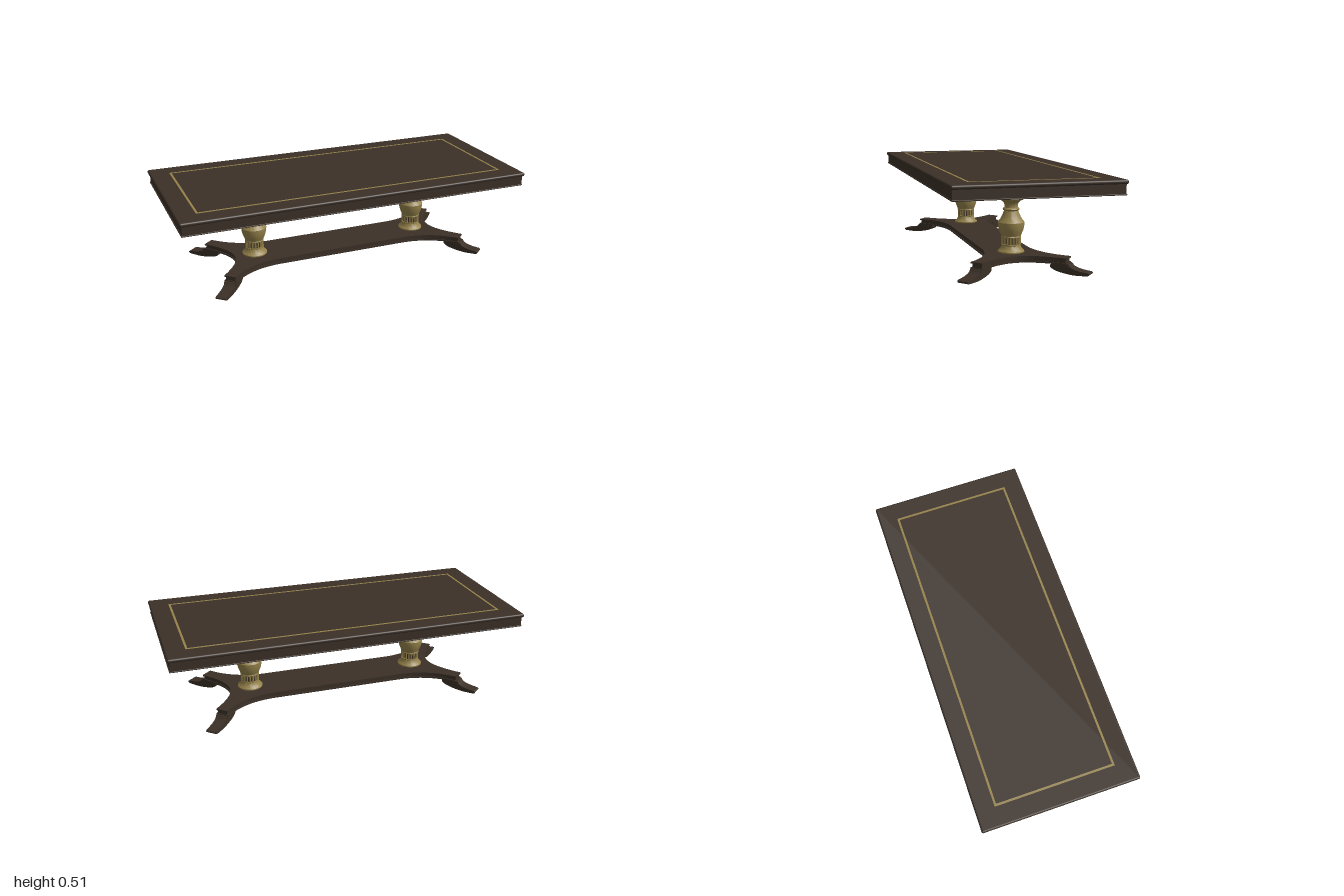
import * as THREE from 'three';
import { toCreasedNormals } from 'three/addons/utils/BufferGeometryUtils.js';
import { RoundedBoxGeometry } from 'three/addons/geometries/RoundedBoxGeometry.js';

const wood = new THREE.MeshStandardMaterial({ color: 0x3b3027 });
wood.name = 'dark walnut';
const gilt = new THREE.MeshStandardMaterial({ color: 0x94814a });
gilt.name = 'antique gold';

const COLUMN_X = 0.5;
const ARM_ANGLE = THREE.MathUtils.degToRad(49);
const C = Math.cos(ARM_ANGLE), S = Math.sin(ARM_ANGLE);

function add(parent, name, geometry, material, x = 0, y = 0, z = 0) {
  const mesh = new THREE.Mesh(geometry, material);
  mesh.name = name;
  mesh.position.set(x, y, z);
  parent.add(mesh);
  return mesh;
}

// Plan of the base: a plank with four splayed arms and hollow sides, shrunk by inset
function basePlan(inset) {
  const half = 0.035 - inset, len = 0.325 - inset, side = 0.13 - inset;
  const outer = [COLUMN_X + C * len + S * half, S * len - C * half];
  const inner = [COLUMN_X + C * len - S * half, S * len + C * half];
  const bend = inner[0] - (inner[1] - side) * C / S;
  const s = new THREE.Shape();
  s.moveTo(outer[0], -outer[1]);
  s.bezierCurveTo(0.58 - inset, -0.05, 0.58 - inset, 0.05, outer[0], outer[1]);
  s.lineTo(inner[0], inner[1]);
  s.quadraticCurveTo(bend, side, 0.38, side);
  s.lineTo(-0.38, side);
  s.quadraticCurveTo(-bend, side, -inner[0], inner[1]);
  s.lineTo(-outer[0], outer[1]);
  s.bezierCurveTo(-0.58 + inset, 0.05, -0.58 + inset, -0.05, -outer[0], -outer[1]);
  s.lineTo(-inner[0], -inner[1]);
  s.quadraticCurveTo(-bend, -side, -0.38, -side);
  s.lineTo(0.38, -side);
  s.quadraticCurveTo(bend, -side, inner[0], -inner[1]);
  s.closePath();
  return s;
}

function baseLayer(parent, name, inset, y0, y1) {
  const g = new THREE.ExtrudeGeometry(basePlan(inset), { depth: y1 - y0, bevelEnabled: false, curveSegments: 16 });
  g.rotateX(-Math.PI / 2);
  add(parent, name, toCreasedNormals(g, 0.6), wood, 0, y0, 0);
}

// Scroll foot, profile runs outwards along the arm
function footGeometry() {
  const s = new THREE.Shape();
  s.moveTo(0.25, 0.056);
  s.quadraticCurveTo(0.233, 0.054, 0.235, 0.036);
  s.quadraticCurveTo(0.25, 0.02, 0.29, 0.012);
  s.quadraticCurveTo(0.34, 0.002, 0.38, 0.002);
  s.lineTo(0.436, 0.004);
  s.quadraticCurveTo(0.448, 0.007, 0.446, 0.015);
  s.quadraticCurveTo(0.443, 0.021, 0.43, 0.021);
  s.quadraticCurveTo(0.37, 0.026, 0.345, 0.042);
  s.lineTo(0.335, 0.056);
  s.closePath();
  const g = new THREE.ExtrudeGeometry(s, { depth: 0.062, bevelEnabled: false, curveSegments: 6 });
  g.translate(0, 0, -0.031);
  return toCreasedNormals(g, 0.7);
}

function lathe(profile) {
  const points = profile.map(([r, y]) => new THREE.Vector2(r, y));
  return toCreasedNormals(new THREE.LatheGeometry(points, 36), 0.6);
}

function createColumn() {
  const column = new THREE.Group();
  column.name = 'column';
  // Flared foot below the fluted band
  add(column, 'columnFoot', lathe([
    [0.068, 0.087], [0.071, 0.09], [0.071, 0.096], [0.067, 0.1], [0.06, 0.106], [0.054, 0.116],
    [0.05, 0.126], [0.053, 0.128], [0.053, 0.133], [0.04, 0.135],
  ]), gilt);
  // Dark core with gilded ribs
  add(column, 'flutedBand', new THREE.CylinderGeometry(0.047, 0.047, 0.04, 36), wood, 0, 0.152, 0);
  const rib = new THREE.CylinderGeometry(0.0052, 0.0052, 0.036, 8);
  for (let i = 0; i < 18; i++) {
    const a = i * Math.PI / 9;
    add(column, 'rib', rib, gilt, 0.0475 * Math.cos(a), 0.151, 0.0475 * Math.sin(a));
  }
  // Vase, neck, bead and capital
  add(column, 'columnShaft', lathe([
    [0.04, 0.167], [0.053, 0.168], [0.054, 0.173], [0.052, 0.177], [0.058, 0.19], [0.065, 0.208],
    [0.07, 0.23], [0.071, 0.25], [0.067, 0.256], [0.06, 0.263], [0.052, 0.277], [0.044, 0.294],
    [0.038, 0.311], [0.042, 0.314], [0.045, 0.319], [0.042, 0.325], [0.036, 0.328], [0.035, 0.338],
    [0.038, 0.35], [0.046, 0.36], [0.058, 0.368], [0.066, 0.371], [0.068, 0.375], [0.066, 0.379],
    [0.062, 0.381], [0.062, 0.442],
  ]), gilt);
  return column;
}

export function createModel() {
  const table = new THREE.Group();
  table.name = 'table';

  // Top
  add(table, 'tableTop', new RoundedBoxGeometry(2, 0.021, 0.88, 4, 0.0095), wood, 0, 0.5045, 0);
  add(table, 'apron', new THREE.BoxGeometry(1.976, 0.056, 0.86), wood, 0, 0.469, 0);
  add(table, 'apronBead', new RoundedBoxGeometry(1.986, 0.007, 0.868, 2, 0.003), wood, 0, 0.4425, 0);

  // Gold line inlaid in the top
  const frame = new THREE.Shape();
  frame.moveTo(-0.893, -0.335).lineTo(0.893, -0.335).lineTo(0.893, 0.335).lineTo(-0.893, 0.335).closePath();
  const hole = new THREE.Path();
  hole.moveTo(-0.881, -0.323).lineTo(-0.881, 0.323).lineTo(0.881, 0.323).lineTo(0.881, -0.323).closePath();
  frame.holes.push(hole);
  const inlay = new THREE.ExtrudeGeometry(frame, { depth: 0.002, bevelEnabled: false });
  inlay.rotateX(-Math.PI / 2);
  add(table, 'inlayLine', inlay, gilt, 0, 0.514, 0);

  // Columns
  for (const side of [-1, 1]) {
    const column = createColumn();
    column.position.x = side * COLUMN_X;
    table.add(column);
  }

  // Base with a bead along both edges
  baseLayer(table, 'baseLowerBead', 0, 0.053, 0.061);
  baseLayer(table, 'baseBody', 0.006, 0.061, 0.08);
  baseLayer(table, 'baseUpperBead', 0, 0.08, 0.088);

  // Feet and the small blocks above them
  const foot = footGeometry();
  for (const sx of [-1, 1]) for (const sz of [-1, 1]) {
    const leg = new THREE.Group();
    leg.name = 'leg';
    leg.position.x = sx * COLUMN_X;
    leg.rotation.y = -Math.atan2(sz * S, sx * C);
    add(leg, 'foot', foot, wood);
    add(leg, 'footBlock', new THREE.BoxGeometry(0.07, 0.014, 0.066), wood, 0.3, 0.047, 0);
    table.add(leg);
  }
  return table;
}
